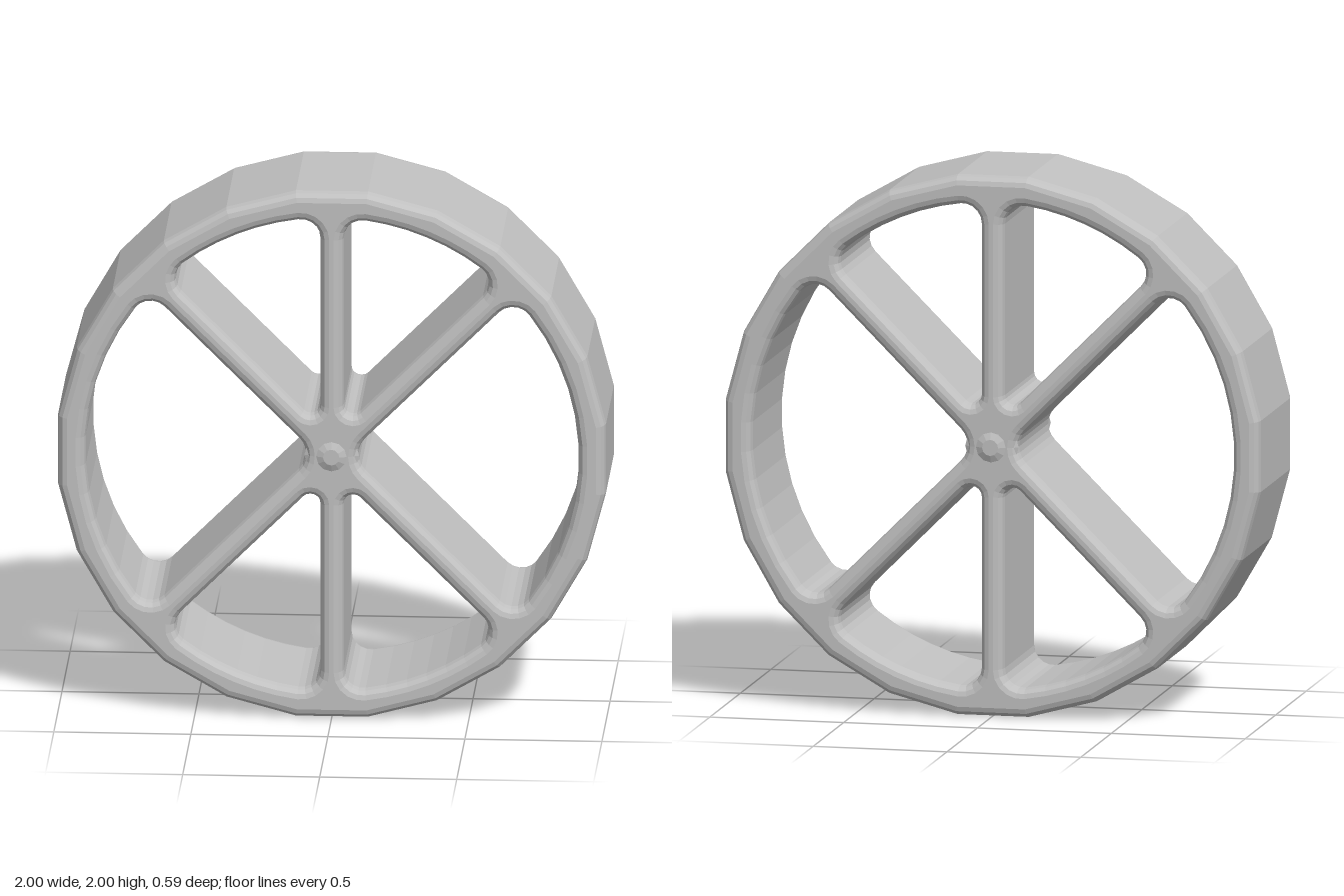
import * as THREE from 'three';

const rad = THREE.MathUtils.degToRad;

// Points along an arc centred at polar position (dist, dir)
function arc(dist, dir, r, from, to, steps) {
  const points = [];
  for (let i = 0; i <= steps; i++) {
    const a = from + (to - from) * i / steps;
    points.push(new THREE.Vector2(
      dist * Math.cos(dir) + r * Math.cos(a),
      dist * Math.sin(dir) + r * Math.sin(a)));
  }
  return points;
}

// Rounded opening between the spokes at angles a0 and a1
function opening(a0, a1, innerFillet) {
  const half = 0.043, rim = 0.9, fillet = 0.07, q = Math.PI / 2;
  const d = Math.asin((half + fillet) / (rim - fillet));
  const mid = (a0 + a1) / 2;
  const hubDist = (half + innerFillet) / Math.sin((a1 - a0) / 2);
  const steps = Math.round((a1 - a0) / rad(8));
  return new THREE.Path([
    ...arc(rim - fillet, a0 + d, fillet, a0 - q, a0 + d, 5),
    ...arc(0, 0, rim, a0 + d, a1 - d, steps).slice(1, -1),
    ...arc(rim - fillet, a1 - d, fillet, a1 - d, a1 + q, 5),
    ...arc(hubDist, mid, innerFillet, a1 + q, a0 + 3 * q, 6),
  ]);
}

export function createModel() {
  const group = new THREE.Group();
  group.name = 'spokedWheel';
  const grey = new THREE.MeshStandardMaterial({ color: 0xc0c0c0, flatShading: true });
  grey.name = 'plain grey';

  // Faceted rim with six broad spokes, edges rounded
  const sides = 24;
  const outline = arc(0, 0, 1 / Math.cos(Math.PI / sides),
    Math.PI / sides, Math.PI / sides + Math.PI * 2, sides).slice(0, -1);
  const shape = new THREE.Shape(outline);
  const spokes = [-45, 45, 90, 135, 225, 270, 315].map(rad);
  for (let i = 0; i < 6; i++) {
    const wide = spokes[i + 1] - spokes[i] > 1;
    shape.holes.push(opening(spokes[i], spokes[i + 1], wide ? 0.085 : 0.035));
  }
  const halfDepth = 0.282, bevel = 0.045;
  const geometry = new THREE.ExtrudeGeometry(shape, {
    depth: 2 * (halfDepth - bevel), bevelEnabled: true,
    bevelThickness: bevel, bevelSize: 0.035, bevelOffset: -0.035, bevelSegments: 3,
  });
  geometry.translate(0, 0, bevel - halfDepth);
  const wheel = new THREE.Mesh(geometry, grey);
  wheel.name = 'rimAndSpokes';
  wheel.position.y = 1;
  group.add(wheel);

  // Slight swelling of the hub on both sides
  for (const side of [1, -1]) {
    const hub = new THREE.Mesh(new THREE.CylinderGeometry(0.03, 0.1, 0.03, 12), grey);
    hub.name = side > 0 ? 'frontHub' : 'backHub';
    hub.rotation.x = side * Math.PI / 2;
    hub.position.set(0, 1, side * 0.278);
    group.add(hub);
  }
  return group;
}
